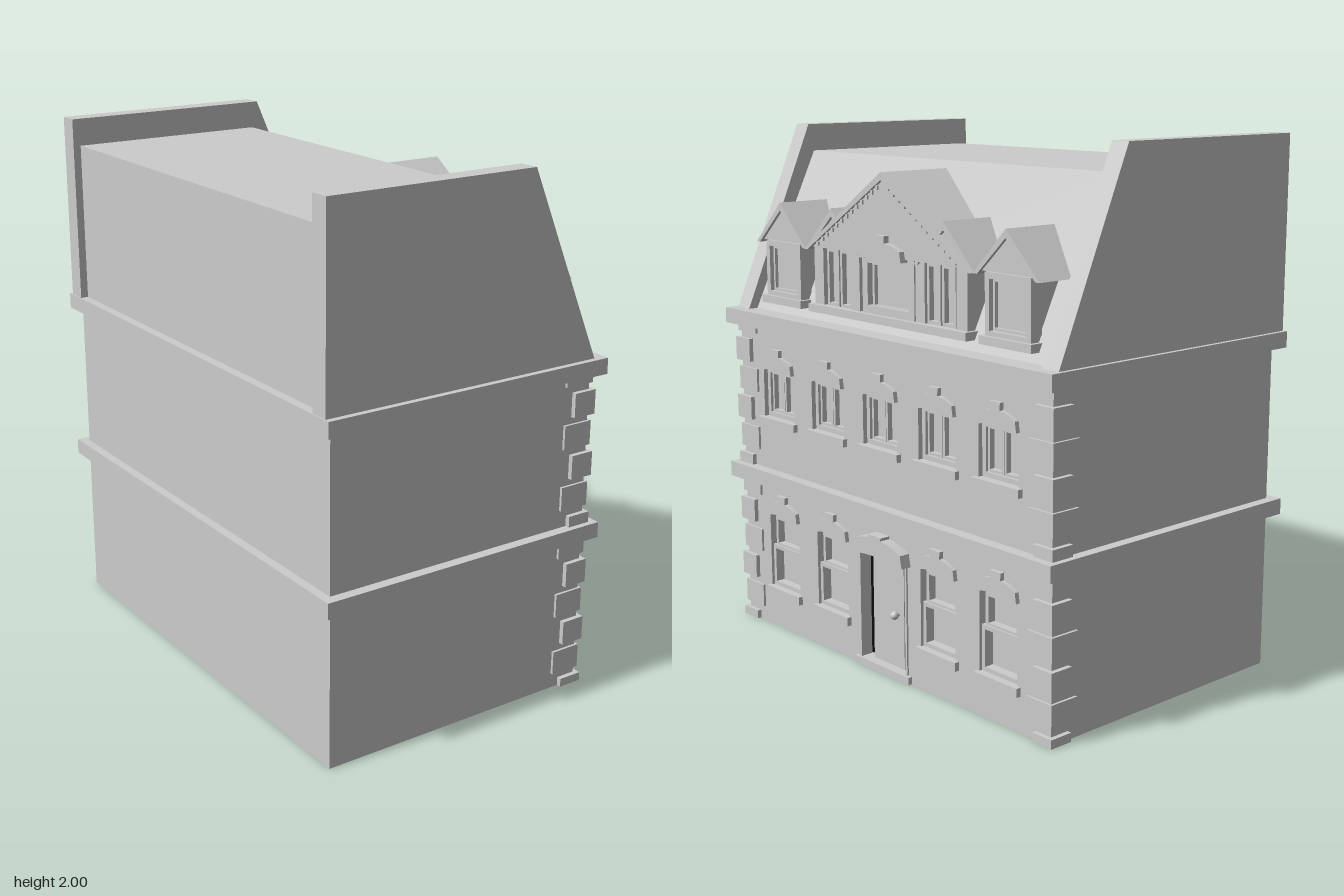
import * as THREE from 'three';

const grey = new THREE.MeshStandardMaterial({ color: 0xcccccc, flatShading: true });
const dark = new THREE.MeshStandardMaterial({ color: 0x0c0c0c });

// The house is built with its facade towards local +z, then turned to face +x.
export function createModel() {
  const house = new THREE.Group();
  house.name = 'townHouse';
  house.rotation.y = Math.PI / 2;

  const add = (name, geo, parent = house, mat = grey) => {
    const m = new THREE.Mesh(geo, mat);
    m.name = name;
    parent.add(m);
    return m;
  };
  // Box given by its limits in each axis
  const box = (name, x0, x1, y0, y1, z0, z1, parent = house, mat = grey) =>
    add(name, new THREE.BoxGeometry(x1 - x0, y1 - y0, z1 - z0)
      .translate((x0 + x1) / 2, (y0 + y1) / 2, (z0 + z1) / 2), parent, mat);
  const poly = pts => new THREE.Shape(pts.map(p => new THREE.Vector2(...p)));
  const extrude = (shape, z0, z1) =>
    new THREE.ExtrudeGeometry(shape, { depth: z1 - z0, bevelEnabled: false, curveSegments: 8 }).translate(0, 0, z0);
  // Side profile [z, y] extruded across x
  const across = (pts, x0, x1) => extrude(poly(pts), 0, x1 - x0).rotateY(-Math.PI / 2).translate(x1, 0, 0);
  const rect = (x0, x1, y0, y1) => [[x0, y0], [x1, y0], [x1, y1], [x0, y1]];
  const group = (name, x = 0, parent = house) => {
    const g = new THREE.Group();
    g.name = name;
    g.position.x = x;
    parent.add(g);
    return g;
  };
  // Rectangular frame of four bars
  const frame = (name, x0, x1, y0, y1, z0, z1, t, parent) => {
    const s = poly(rect(x0, x1, y0, y1));
    s.holes.push(new THREE.Path(poly(rect(x0 + t, x1 - t, y0 + t, y1 - t)).getPoints()));
    return add(name, extrude(s, z0, z1), parent);
  };
  // Arched lintel with a raised keystone
  const lintel = (name, w, y, rise, h, key, keyW, z0, z1, parent) => {
    const s = new THREE.Shape();
    s.moveTo(-w, y);
    s.lineTo(-w * 0.86, y);
    s.quadraticCurveTo(0, y + rise * 2, w * 0.86, y);
    s.lineTo(w, y);
    s.lineTo(w * 0.94, y + h * 0.62);
    s.quadraticCurveTo(w * 0.5, y + h, keyW, y + h);
    s.lineTo(keyW * 1.1, y + key);
    s.lineTo(-keyW * 1.1, y + key);
    s.lineTo(-keyW, y + h);
    s.quadraticCurveTo(-w * 0.5, y + h, -w * 0.94, y + h * 0.62);
    add(name, extrude(s, z0, z1), parent);
  };

  // Main block and facade wall with openings
  const WALL = 0.553, CORE = 0.505;
  const upperX = [-2, -1, 0, 1, 2].map(i => i * 0.318 - 0.008);
  const lowerX = [-0.63, -0.312, 0.312, 0.63];
  box('mainBlock', -0.89, 0.89, 0, 1.26, -0.565, CORE);
  const wall = poly(rect(-0.89, 0.89, 0, 1.26));
  const hole = (...r) => wall.holes.push(new THREE.Path(poly(rect(...r)).getPoints()));
  upperX.forEach(x => hole(x - 0.1, x + 0.1, 0.865, 1.06));
  lowerX.forEach(x => hole(x - 0.098, x + 0.098, 0.165, 0.465));
  hole(-0.14, 0.14, 0.03, 0.46);
  add('facadeWall', extrude(wall, CORE, WALL));

  // String courses
  box('cornice', -0.93, 0.93, 1.225, 1.285, -0.6, 0.6);
  box('stringCourse', -0.93, 0.93, 0.593, 0.653, -0.6, 0.6);

  // Corner quoins, alternating long and short
  const quoins = group('quoins');
  const column = (yTop, yBottom, first) => {
    for (let y = first, i = 0; y > yBottom; y -= 0.118, i++) {
      const long = i % 2 === 0, y1 = Math.min(y, yTop), y0 = Math.max(y - 0.092, yBottom);
      const [inX, outX, inZ, outZ] = long ? [0.78, 0.9, 0.44, 0.562] : [0.815, 0.908, 0.475, 0.57];
      for (const s of [-1, 1])
        box('quoin', Math.min(s * inX, s * outX), Math.max(s * inX, s * outX), y0, y1, inZ, outZ, quoins);
    }
  };
  column(1.225, 0.653, 1.285);
  column(0.593, 0, 0.623);

  // Upper floor casement windows
  for (const x of upperX) {
    const g = group('upperWindow', x);
    frame('frame', -0.1, 0.1, 0.865, 1.06, CORE, 0.535, 0.018, g);
    for (const s of [-1, 1])
      frame('casement', s * 0.041 - 0.04, s * 0.041 + 0.04, 0.883, 1.045, CORE, 0.525, 0.01, g);
    box('sill', -0.118, 0.118, 0.835, 0.865, CORE, 0.572, g);
    lintel('lintel', 0.105, 1.055, 0.012, 0.062, 0.09, 0.024, CORE, 0.57, g);
  }

  // Ground floor sash windows
  for (const x of lowerX) {
    const g = group('lowerWindow', x);
    frame('frame', -0.098, 0.098, 0.165, 0.465, CORE, 0.525, 0.01, g);
    frame('upperSash', -0.085, 0.085, 0.33, 0.455, CORE, 0.535, 0.014, g);
    frame('lowerSash', -0.097, 0.097, 0.165, 0.335, CORE, 0.542, 0.016, g);
    box('sill', -0.11, 0.11, 0.132, 0.165, CORE, 0.572, g);
    lintel('lintel', 0.105, 0.465, 0.012, 0.062, 0.09, 0.026, CORE, 0.57, g);
  }

  // Entrance
  const entrance = group('entrance');
  box('door', -0.09, 0.09, 0.03, 0.45, CORE, 0.53, entrance);
  for (const s of [-1, 1]) {
    box('sideLight', s * 0.113 - 0.02, s * 0.113 + 0.02, 0.035, 0.45, CORE, 0.51, entrance, dark);
    box('jamb', s * 0.136 - 0.005, s * 0.136 + 0.005, 0.03, 0.46, CORE, 0.56, entrance);
  }
  box('step', -0.16, 0.16, 0.002, 0.03, CORE, 0.57, entrance);
  lintel('hood', 0.158, 0.452, 0.012, 0.078, 0.09, 0.035, CORE, 0.595, entrance);
  const knob = add('doorKnob', new THREE.SphereGeometry(0.016, 12, 8), entrance);
  knob.position.set(0.058, 0.24, 0.55);
  const stem = add('knobStem', new THREE.CylinderGeometry(0.007, 0.007, 0.02, 10).rotateX(Math.PI / 2), entrance);
  stem.position.set(0.058, 0.24, 0.535);

  // Mansard roof between raised end walls
  add('mansardRoof', across([[-0.565, 1.26], [0.527, 1.26], [0.22, 1.895], [-0.565, 1.895]], -0.85, 0.85));
  for (const x0 of [-0.908, 0.838])
    add('parapetWall', across([[-0.595, 1.26], [0.565, 1.26], [0.245, 2], [-0.595, 2]], x0, x0 + 0.076));

  // Pitched dormer roof: recessed gable under a projecting chevron
  const gable = (g, w, eaves, ridge, z1, t) => {
    const sl = (ridge - eaves) / w;
    add('gable', extrude(poly([[-w + t, eaves], [w - t, eaves], [0, ridge - t * sl]]), 0.2, z1 - 0.012), g);
    add('roofSlabs', extrude(poly([[-w, eaves - 0.012], [-w + t, eaves - 0.012], [0, ridge - t * sl - 0.012],
      [w - t, eaves - 0.012], [w, eaves - 0.012], [0, ridge]]), 0.2, z1), g);
  };

  // Outer dormers
  for (const x of [-0.637, 0.637]) {
    const g = group('dormer', x);
    box('cheeks', -0.105, 0.105, 1.27, 1.57, 0.25, 0.49, g);
    frame('frame', -0.112, 0.112, 1.345, 1.565, 0.47, 0.52, 0.022, g);
    frame('sash', -0.09, 0.09, 1.367, 1.543, 0.47, 0.503, 0.01, g);
    box('sill', -0.128, 0.128, 1.32, 1.35, 0.4, 0.535, g);
    gable(g, 0.161, 1.567, 1.717, 0.53, 0.02);
  }
  // Roofs flanking the central bay
  for (const x of [-0.318, 0.318]) gable(group('innerDormerRoof', x), 0.161, 1.567, 1.717, 0.525, 0.02);

  // Central bay with pediment
  const bay = group('centralBay');
  box('bayWall', -0.435, 0.435, 1.27, 1.57, 0.25, 0.49, bay);
  box('baySill', -0.45, 0.45, 1.32, 1.35, 0.4, 0.54, bay);
  gable(bay, 0.472, 1.567, 1.867, 0.542, 0.025);
  frame('centreFrame', -0.14, 0.156, 1.35, 1.565, 0.47, 0.52, 0.03, bay);
  frame('centreSash', -0.1, 0.116, 1.37, 1.54, 0.47, 0.505, 0.012, bay);
  lintel('centreLintel', 0.12, 1.556, 0.01, 0.062, 0.088, 0.026, 0.49, 0.552, bay);
  for (const s of [-1, 1]) {
    for (const k of [-1, 1])
      frame('sideSash', s * 0.29 + k * 0.04 - 0.036, s * 0.29 + k * 0.04 + 0.036, 1.35, 1.565, 0.47, 0.51, 0.012, bay);
    box('pier', s * 0.185 - 0.025, s * 0.185 + 0.025, 1.35, 1.565, 0.47, 0.518, bay);
    box('cornerPost', s * 0.407 - 0.028, s * 0.407 + 0.028, 1.35, 1.565, 0.47, 0.518, bay);
    // Small dentils under the raking edge
    for (let i = 1; i < 14; i++) {
      const x = s * i * 0.03, y = 1.834 - i * 0.03 * 0.636;
      box('dentil', x - 0.006, x + 0.006, y - 0.012, y + 0.004, 0.52, 0.537, bay);
    }
  }

  const model = new THREE.Group();
  model.name = 'model';
  model.add(house);
  return model;
}
